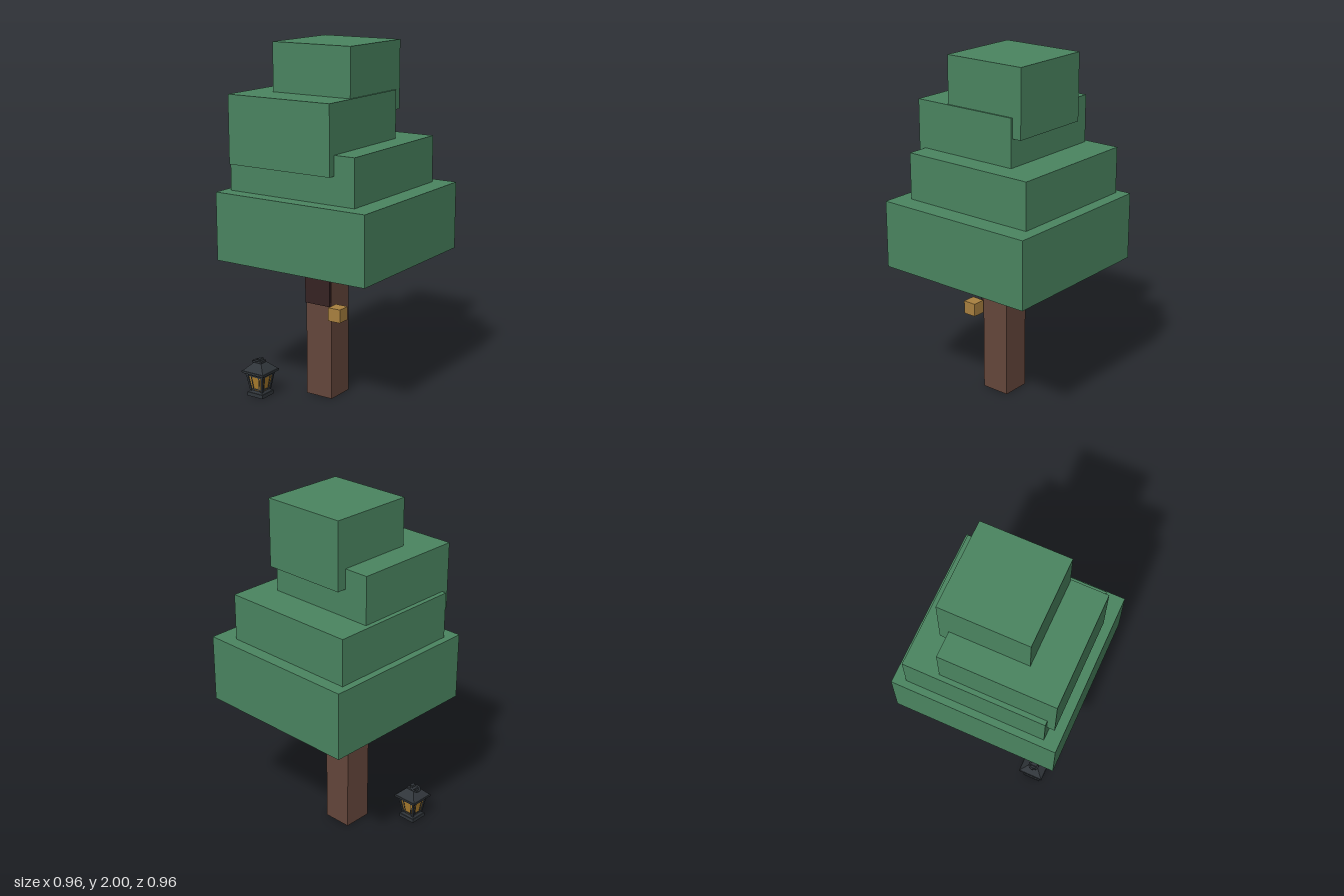
import * as THREE from 'three';

const mat = (name, color) => Object.assign(new THREE.MeshStandardMaterial({ color }), { name });

export function createModel() {
  const leaf = mat('leaf green', 0x4a8460);
  const bark = mat('bark brown', 0x64463b);
  const plaque = mat('dark wood', 0x362223);
  const gold = mat('ochre', 0xa8803f);
  const iron = mat('dark iron', 0x30353a);
  const glass = mat('amber glass', 0xb0812f);

  const tree = new THREE.Group();
  tree.name = 'treeWithLantern';

  const add = (parent, name, geometry, material) => {
    const mesh = new THREE.Mesh(geometry, material);
    mesh.name = name;
    parent.add(mesh);
    return mesh;
  };
  // Box given by its lower and upper corners
  const block = (name, [x0, y0, z0], [x1, y1, z1], material) =>
    add(tree, name, new THREE.BoxGeometry(x1 - x0, y1 - y0, z1 - z0), material)
      .position.set((x0 + x1) / 2, (y0 + y1) / 2, (z0 + z1) / 2);

  // Stacked, offset foliage
  block('foliageBottom', [-0.48, 0.81, -0.48], [0.48, 1.195, 0.48], leaf);
  block('foliageLower', [-0.44, 1.08, -0.41], [0.365, 1.46, 0.397], leaf);
  block('foliageUpper', [-0.413, 1.35, -0.21], [0.24, 1.73, 0.441], leaf);
  block('foliageTop', [-0.268, 1.618, -0.265], [0.23, 2, 0.233], leaf);

  // Trunk with a dark plaque and a small hanging cube
  block('trunk', [-0.117, 0, -0.025], [0.053, 0.85, 0.147], bark);
  block('plaque', [-0.114, 0.548, 0.146], [0.051, 0.74, 0.163], plaque);
  block('smallCube', [0.073, 0.486, 0.132], [0.15, 0.562, 0.21], gold);

  // Lantern on the ground
  const lantern = new THREE.Group();
  lantern.name = 'lantern';
  lantern.position.set(-0.322, 0, 0.317);
  tree.add(lantern);

  // Square frustum from half widths at its bottom and top
  const frustum = (name, y0, y1, h0, h1, material) => {
    const g = new THREE.CylinderGeometry(h1 * Math.SQRT2, h0 * Math.SQRT2, y1 - y0, 4).rotateY(Math.PI / 4).toNonIndexed();
    g.computeVertexNormals();
    add(lantern, name, g, material).position.y = (y0 + y1) / 2;
  };
  frustum('lanternFoot', 0, 0.022, 0.053, 0.053, iron);
  frustum('lanternSill', 0.022, 0.034, 0.048, 0.04, iron);
  frustum('lanternGlass', 0.034, 0.135, 0.036, 0.052, glass);
  frustum('lanternCollar', 0.128, 0.14, 0.06, 0.06, iron);
  frustum('lanternEave', 0.14, 0.152, 0.075, 0.075, iron);
  frustum('lanternRoof', 0.152, 0.197, 0.072, 0.026, iron);
  frustum('lanternCap', 0.197, 0.207, 0.024, 0.024, iron);

  // Straight bar between two points
  const up = new THREE.Vector3(0, 1, 0);
  const bar = (parent, name, a, b, w) => {
    const from = new THREE.Vector3(...a), dir = new THREE.Vector3(...b).sub(from);
    const mesh = add(parent, name, new THREE.BoxGeometry(w, dir.length(), w), iron);
    mesh.position.copy(from).addScaledVector(dir, 0.5);
    mesh.quaternion.setFromUnitVectors(up, dir.normalize());
  };
  // Corner posts and pane frames, one set for each side
  for (let i = 0; i < 4; i++) {
    const side = new THREE.Group();
    side.name = 'lanternSide';
    side.rotation.y = i * Math.PI / 2;
    lantern.add(side);
    bar(side, 'cornerPost', [0.036, 0.03, 0.036], [0.053, 0.135, 0.053], 0.012);
    for (const s of [-1, 1])
      bar(side, 'paneBar', [s * 0.019, 0.032, 0.036], [s * 0.028, 0.135, 0.052], 0.005);
    bar(side, 'paneRail', [-0.044, 0.122, 0.05], [0.044, 0.122, 0.05], 0.006);
    bar(side, 'paneRail', [-0.036, 0.042, 0.037], [0.036, 0.042, 0.037], 0.006);
  }

  // Carrying ring tipped over to one side
  const ring = add(lantern, 'lanternRing', new THREE.TorusGeometry(0.026, 0.006, 6, 16).rotateX(Math.PI / 2), iron);
  ring.position.set(-0.02, 0.205, 0);
  ring.rotation.z = 0.35;
  add(lantern, 'ringKnob', new THREE.BoxGeometry(0.018, 0.016, 0.03), iron).position.set(0.002, 0.213, 0);

  return tree;
}
